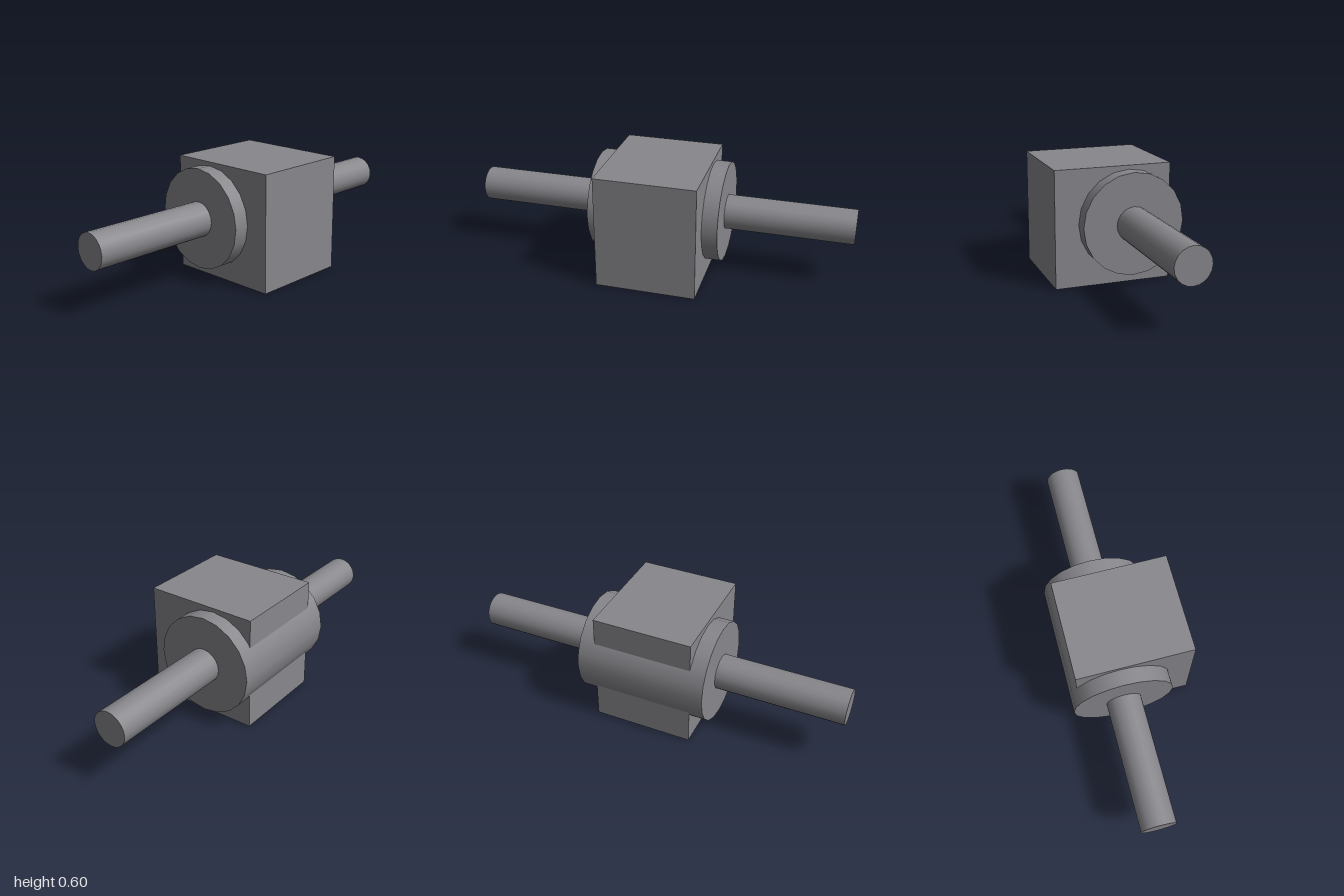
import * as THREE from 'three';

export function createModel() {
  const model = new THREE.Group();
  const gray = new THREE.MeshStandardMaterial({ color: 0x88878c });
  gray.name = 'steel gray';

  const add = (name, geometry, x, y, z) => {
    const mesh = new THREE.Mesh(geometry, gray);
    mesh.name = name;
    mesh.position.set(x, y, z);
    model.add(mesh);
  };
  // Cylinder lying along x, with a vertex at the top
  const rod = (radius, length) =>
    new THREE.CylinderGeometry(radius, radius, length, 20).rotateZ(Math.PI / 2);

  // Block housing, offset forward of the axle
  add('housing', new THREE.BoxGeometry(0.52, 0.6, 0.6), 0, 0.3, 0.02);

  // Drum passing through the housing and bulging out behind it
  const axisY = 0.32, axisZ = -0.06;
  add('drum', rod(0.26, 0.68), 0, axisY, axisZ);

  // Axle stubs on both sides of the drum
  for (const [name, side] of [['leftAxle', 1], ['rightAxle', -1]]) {
    add(name, rod(0.09, 0.66), side * 0.67, axisY, axisZ);
  }
  return model;
}
